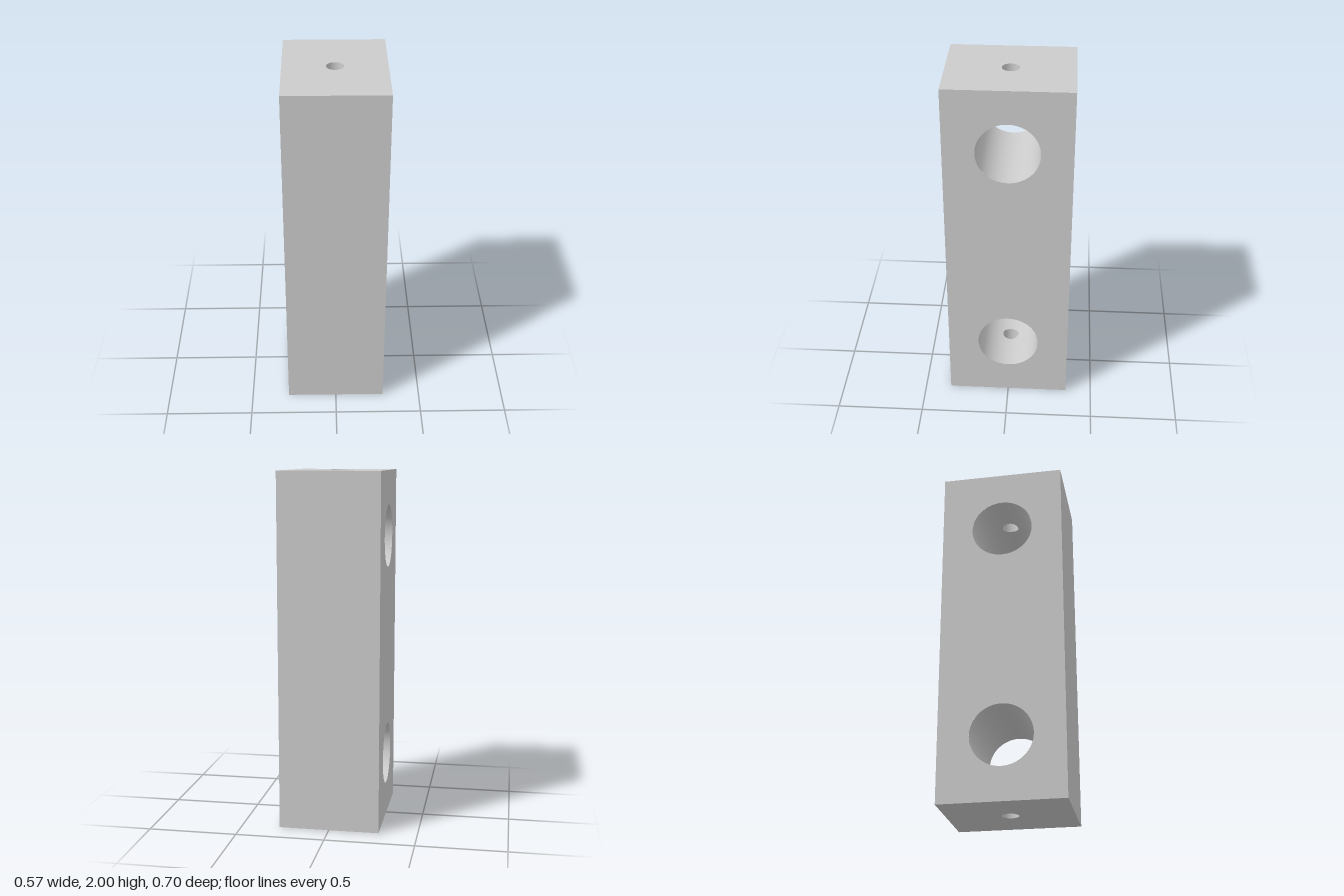
import * as THREE from 'three';

const HALF_W = 0.283, HALF_D = 0.349, HEIGHT = 2; // block
const BORE_R = 0.175, BORE_Y = 1.635;             // cross bores along x
const DRILL_R = 0.0475;                           // small vertical holes
const PATCH = 0.6;                                // half angle of the drilled strip of a bore

const material = new THREE.MeshStandardMaterial({ color: 0xcccccc });

function add(parent, name, geometry) {
  const mesh = new THREE.Mesh(geometry, material);
  mesh.name = name;
  parent.add(mesh);
  return mesh;
}

// Turns a symmetric round wall so that it faces its own axis
function insideOut(geometry) {
  geometry.scale(-1, 1, 1);
  const n = geometry.attributes.normal;
  for (let i = 0; i < n.count; i++) n.setXYZ(i, -n.getX(i), -n.getY(i), -n.getZ(i));
  return geometry;
}

// Flat rectangle with round holes given as [x, y, radius]
function plate(halfW, halfH, holes) {
  const shape = new THREE.Shape([
    new THREE.Vector2(-halfW, -halfH), new THREE.Vector2(halfW, -halfH),
    new THREE.Vector2(halfW, halfH), new THREE.Vector2(-halfW, halfH)]);
  for (const [x, y, r] of holes) shape.holes.push(new THREE.Path().absarc(x, y, r, 0, Math.PI * 2, true));
  return new THREE.ShapeGeometry(shape, 64);
}

// Strip of bore wall lofted from the drill opening out to a rectangle
function drilledStrip() {
  const perSide = 24, rings = 6, count = perSide * 4;
  const positions = [], normals = [], index = [];
  for (let j = 0; j <= rings; j++) {
    for (let i = 0; i <= count; i++) {
      const side = Math.floor(i / perSide) % 4, s = (i % perSide) / perSide * 2 - 1;
      const [px, pz] = [[1, s], [-s, 1], [-1, -s], [s, -1]][side];
      const t = Math.atan2(pz, px), k = j / rings;
      const x = THREE.MathUtils.lerp(DRILL_R * Math.cos(t), px * HALF_W, k);
      const a = THREE.MathUtils.lerp(Math.asin(DRILL_R * Math.sin(t) / BORE_R), pz * PATCH, k);
      positions.push(x, BORE_R * Math.cos(a), BORE_R * Math.sin(a));
      normals.push(0, -Math.cos(a), -Math.sin(a));
      if (j < rings && i < count) {
        const p = j * (count + 1) + i, q = p + count + 1;
        index.push(p, q, q + 1, p, q + 1, p + 1);
      }
    }
  }
  const geometry = new THREE.BufferGeometry();
  geometry.setAttribute('position', new THREE.Float32BufferAttribute(positions, 3));
  geometry.setAttribute('normal', new THREE.Float32BufferAttribute(normals, 3));
  geometry.setIndex(index);
  return geometry;
}

// Vertical hole whose lower rim follows the curve of the bore
function drillWall() {
  const geometry = new THREE.CylinderGeometry(DRILL_R, DRILL_R, 1, 64, 1, true);
  const p = geometry.attributes.position;
  for (let i = 0; i < p.count; i++) {
    p.setY(i, p.getY(i) > 0 ? HEIGHT / 2 : BORE_Y - HEIGHT / 2 + Math.sqrt(BORE_R ** 2 - p.getZ(i) ** 2));
  }
  return insideOut(geometry);
}

// Capped end of the block with its bore and drill hole, relative to mid height
function blockEnd(name) {
  const end = new THREE.Group();
  end.name = name;
  add(end, 'endFace', plate(HALF_W, HALF_D, [[0, 0, DRILL_R]]).rotateX(-Math.PI / 2).translate(0, HEIGHT / 2, 0));
  const bore = new THREE.CylinderGeometry(BORE_R, BORE_R, HALF_W * 2, 64, 1, true,
    Math.PI / 2 + PATCH, Math.PI * 2 - PATCH * 2).rotateZ(Math.PI / 2);
  add(end, 'boreWall', insideOut(bore)).position.y = BORE_Y - HEIGHT / 2;
  add(end, 'boreDrilledStrip', drilledStrip()).position.y = BORE_Y - HEIGHT / 2;
  add(end, 'drillWall', drillWall());
  return end;
}

export function createModel() {
  const block = new THREE.Group();
  block.name = 'drilledBlock';
  block.position.y = HEIGHT / 2;

  // Outer faces, made in opposite pairs
  const boreHoles = [1, -1].map(s => [0, s * (BORE_Y - HEIGHT / 2), BORE_R]);
  for (const [turn, faceName, sideName] of [[0, 'frontFace', 'leftFace'], [Math.PI, 'backFace', 'rightFace']]) {
    add(block, faceName, plate(HALF_W, HEIGHT / 2, []).translate(0, 0, HALF_D).rotateY(turn));
    add(block, sideName, plate(HALF_D, HEIGHT / 2, boreHoles).translate(0, 0, HALF_W).rotateY(turn + Math.PI / 2));
  }

  // Matching top and bottom ends
  const bottom = blockEnd('bottomEnd');
  bottom.rotation.z = Math.PI;
  block.add(blockEnd('topEnd'), bottom);

  const model = new THREE.Group();
  model.add(block);
  return model;
}
